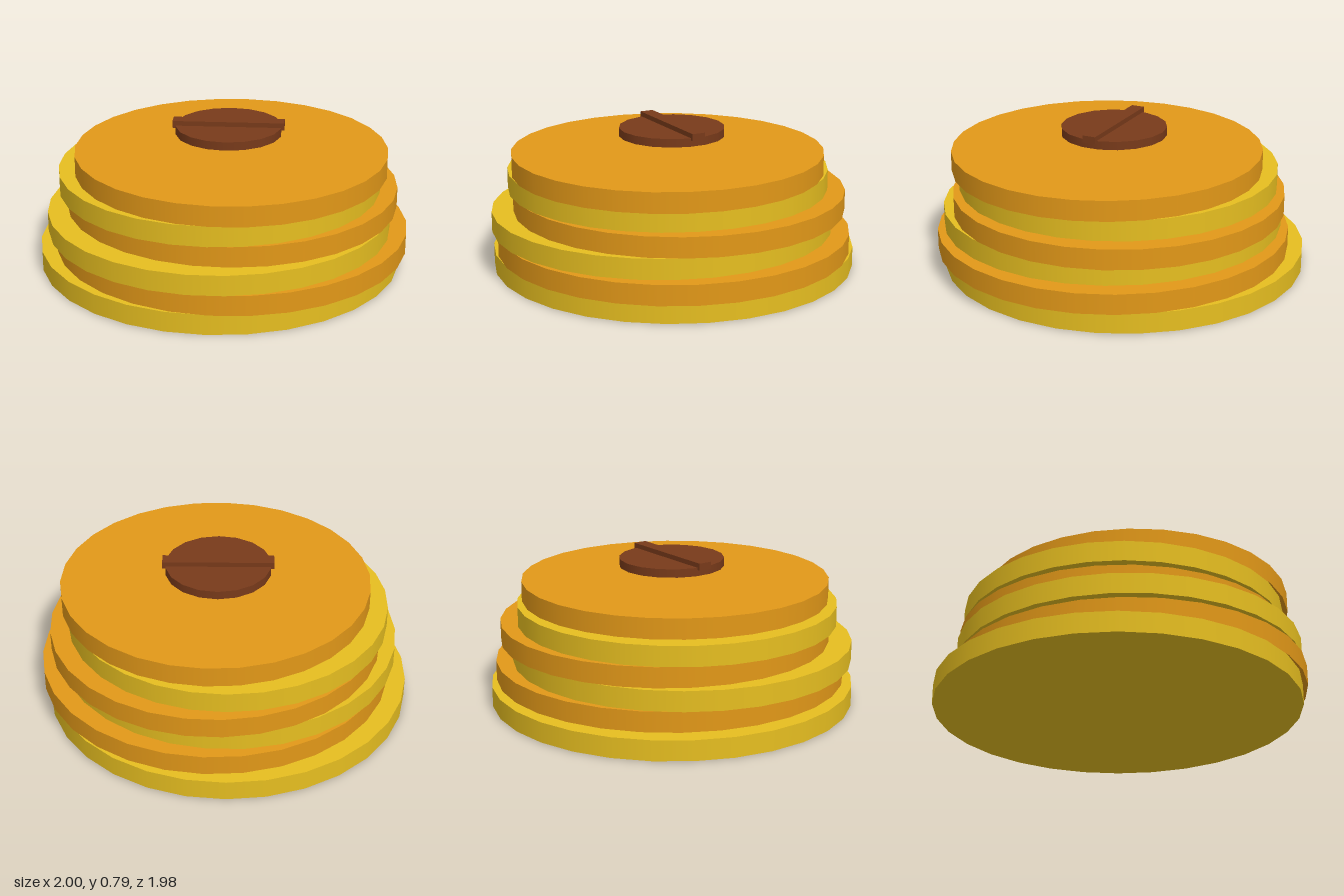
import * as THREE from 'three';

export function createModel() {
  const group = new THREE.Group();
  const material = (color) => new THREE.MeshStandardMaterial({ color });
  const yellow = material(0xe6be20);
  const orange = material(0xe29818);
  const brown = material(0x783a1a);

  const add = (name, geometry, mat, x, y, z) => {
    const mesh = new THREE.Mesh(geometry, mat);
    mesh.name = name;
    mesh.position.set(x, y, z);
    group.add(mesh);
    return mesh;
  };

  // Stacked round layers, each smaller, shifted and slightly turned
  const height = 0.1085;
  for (let i = 0; i < 6; i++) {
    const radius = 0.986 - 0.0296 * i;
    const layer = add(
      `layer${i + 1}`,
      new THREE.CylinderGeometry(radius, radius, height, 30),
      i % 2 ? orange : yellow,
      i % 2 ? 0.043 : -0.022,
      height * (i + 0.5),
      -0.003 + 0.035 * (i % 3)
    );
    layer.rotation.y = THREE.MathUtils.degToRad(-3 * i);
  }

  // Floating cap disc with a bar across it
  add('capDisc', new THREE.CylinderGeometry(0.285, 0.285, 0.045, 18), brown, 0.027, 0.743, 0.032);
  add('capBar', new THREE.BoxGeometry(0.597, 0.038, 0.074), brown, 0.027, 0.772, 0.032);

  return group;
}
